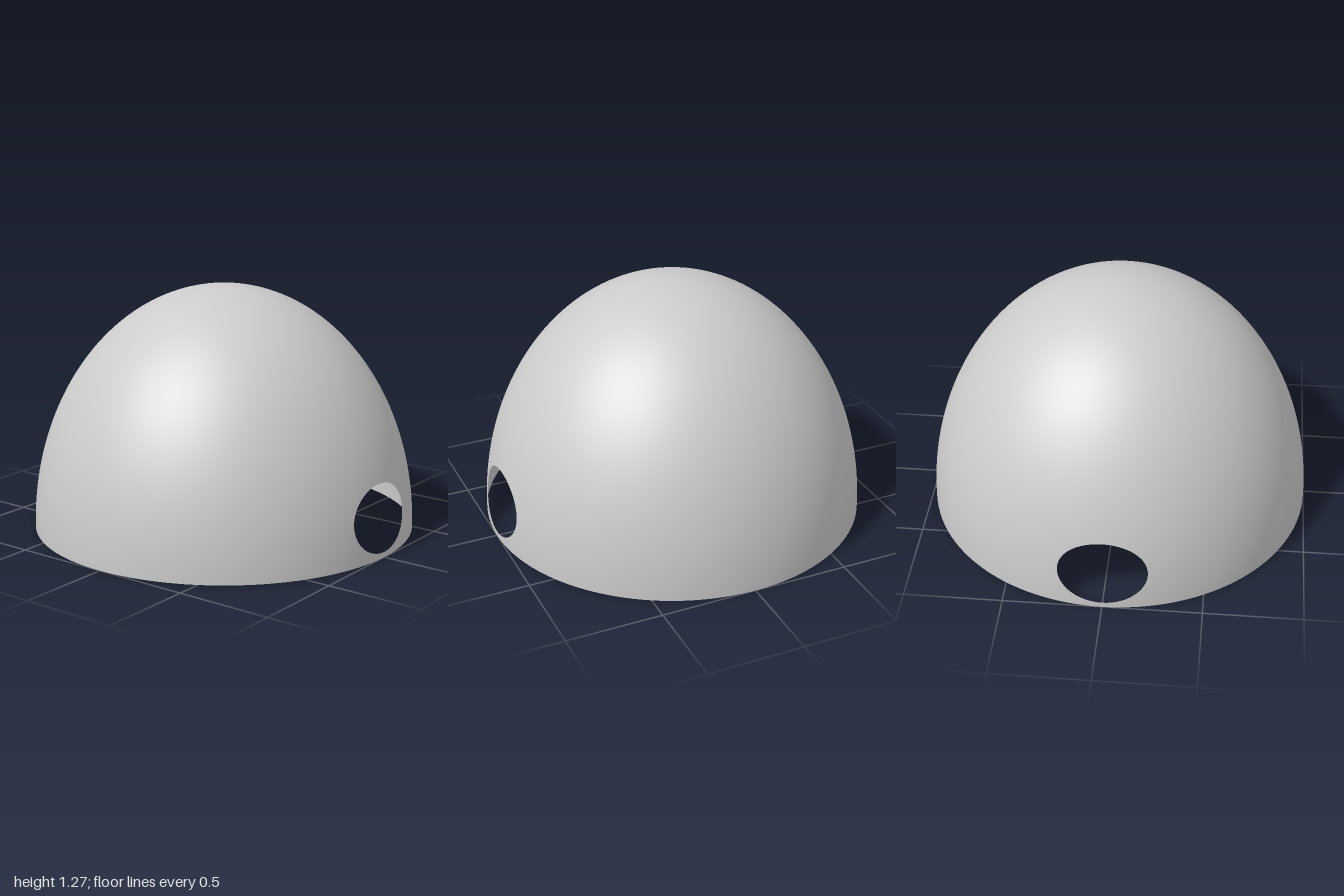
import * as THREE from 'three';

const HEIGHT = 1.27;                         // dome height, base radius is 1
const HOLE = { y: 0.2, rx: 0.225, ry: 0.172 }; // oval opening seen from the front
const A = Math.PI / 8;                       // half width (angle) of the wall panel around an opening
const T = 0.42;                              // latitude where the panels meet the crown
const ACROSS = 24, UP = 16;                  // panel divisions, shared by all neighbours

// Grid over the dome: f(u, v) returns [angle, latitude]; u x v must face outward.
function domePatch(nu, nv, f) {
  const positions = [], normals = [], index = [];
  const n = new THREE.Vector3();
  for (let j = 0; j <= nv; j++) {
    for (let i = 0; i <= nu; i++) {
      const [a, t] = f(i / nu, j / nv);
      const x = Math.cos(t) * Math.sin(a), y = HEIGHT * Math.sin(t), z = Math.cos(t) * Math.cos(a);
      positions.push(x, y, z);
      n.set(x, y / HEIGHT ** 2, z).normalize();
      normals.push(n.x, n.y, n.z);
      if (i < nu && j < nv) {
        const p = j * (nu + 1) + i, q = p + nu + 1;
        index.push(p, p + 1, q + 1, p, q + 1, q);
      }
    }
  }
  const g = new THREE.BufferGeometry();
  g.setAttribute('position', new THREE.Float32BufferAttribute(positions, 3));
  g.setAttribute('normal', new THREE.Float32BufferAttribute(normals, 3));
  g.setIndex(index);
  return g;
}

// Point on the panel outline, counterclockwise from its lower +x corner.
function panelEdge(v) {
  const k = v * 2 * (ACROSS + UP);
  if (k <= UP) return [A, T * k / UP];
  if (k <= UP + ACROSS) return [A - 2 * A * (k - UP) / ACROSS, T];
  if (k <= 2 * UP + ACROSS) return [-A, T * (1 - (k - UP - ACROSS) / UP)];
  return [-A + 2 * A * (k - 2 * UP - ACROSS) / ACROSS, 0];
}

// Point on the oval rim in the same direction as a panel outline point.
function holeEdge([a, t]) {
  const phi = Math.atan2((HEIGHT * Math.sin(t) - HOLE.y) / HOLE.ry, Math.sin(a) / HOLE.rx);
  const lat = Math.asin((HOLE.y + HOLE.ry * Math.sin(phi)) / HEIGHT);
  return [Math.asin(HOLE.rx * Math.cos(phi) / Math.cos(lat)), lat];
}

export function createModel() {
  const group = new THREE.Group();
  group.name = 'dome';
  const material = new THREE.MeshStandardMaterial({ color: 0xcccccc, side: THREE.DoubleSide });
  const add = (name, geometry, turn = 0) => {
    const mesh = new THREE.Mesh(geometry, material);
    mesh.name = name;
    mesh.rotation.y = turn;
    group.add(mesh);
  };

  // Closed upper part, all the way round
  add('crown', domePatch(ACROSS * 8, 48, (u, v) => [
    A + u * Math.PI * 2, T + v * (Math.PI / 2 - T)]));

  // Lower walls at the left and right
  const side = domePatch(ACROSS * 3, UP, (u, v) => [A + u * (Math.PI - 2 * A), v * T]);
  add('leftWall', side);
  add('rightWall', side, Math.PI);

  // Lower walls pierced by the oval openings, front and back
  const panel = domePatch(8, 2 * (ACROSS + UP), (u, v) => {
    const outer = panelEdge(v), inner = holeEdge(outer);
    return [0, 1].map(i => THREE.MathUtils.lerp(inner[i], outer[i], u));
  });
  add('frontOpeningWall', panel);
  add('backOpeningWall', panel, Math.PI);

  return group;
}
